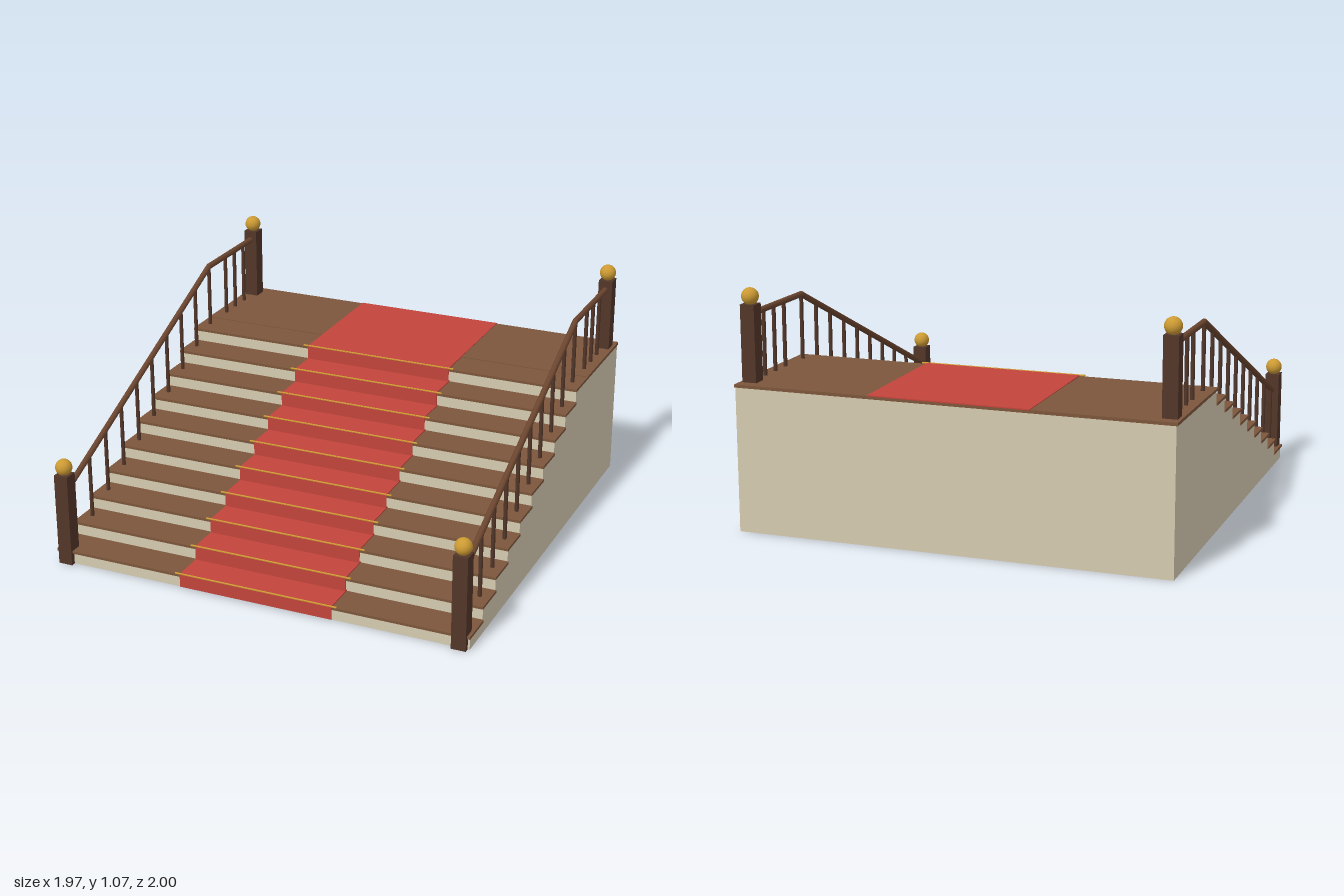
import * as THREE from 'three';

const STEPS = 10, RISE = 0.0657, RUN = 0.148;
const FRONT = 0.976, BACK = -1, TOP = STEPS * RISE;
const NOSE = 0.012, BOARD = 0.012, POST_X = 0.938;

const paint = (color) => new THREE.MeshStandardMaterial({ color });

export function createModel() {
  const model = new THREE.Group();
  const stone = paint(0xd6cbb1), wood = paint(0x7d563c), darkWood = paint(0x523629);
  const railWood = paint(0x6b452f), red = paint(0xc2443b), gold = paint(0xcc9a33);

  const add = (name, geometry, material, parent = model) => {
    const mesh = new THREE.Mesh(geometry, material);
    mesh.name = name;
    parent.add(mesh);
    return mesh;
  };
  // Box given by its extents in x, y and z
  const box = (name, material, x0, x1, y0, y1, z0, z1, parent) =>
    add(name, new THREE.BoxGeometry(x1 - x0, y1 - y0, z1 - z0), material, parent)
      .position.set((x0 + x1) / 2, (y0 + y1) / 2, (z0 + z1) / 2);
  // Round bar between two points
  const bar = (name, material, a, b, radius, parent) => {
    const dir = b.clone().sub(a);
    const mesh = add(name, new THREE.CylinderGeometry(radius, radius, dir.length(), 10), material, parent);
    mesh.position.copy(a).add(b).multiplyScalar(0.5);
    mesh.quaternion.setFromUnitVectors(new THREE.Vector3(0, 1, 0), dir.normalize());
  };

  // Solid stepped base, profile drawn in (z, y) and extruded across x
  const profile = new THREE.Shape();
  profile.moveTo(BACK, 0);
  profile.lineTo(FRONT, 0);
  for (let i = 0; i < STEPS; i++) {
    const z = FRONT - i * RUN, y = (i + 1) * RISE - BOARD;
    profile.lineTo(z, y);
    profile.lineTo(i < STEPS - 1 ? z - RUN : BACK, y);
  }
  profile.closePath();
  const base = new THREE.ExtrudeGeometry(profile, { depth: 1.96, bevelEnabled: false });
  base.translate(0, 0, -0.98).rotateY(-Math.PI / 2);
  add('stairBase', base, stone);

  // Treads, carpet runner and carpet rods
  for (let i = 0; i < STEPS; i++) {
    const riser = FRONT - i * RUN, nose = riser + NOSE, y = (i + 1) * RISE;
    const last = i === STEPS - 1;
    const end = last ? -0.508 : riser - RUN;
    box('tread', wood, -0.985, 0.985, y - BOARD, y, end, nose);
    box('carpetTread', red, -0.362, 0.362, y, y + 0.005, last ? BACK : end, nose + 0.004);
    box('carpetRiser', red, -0.362, 0.362, Math.max(i * RISE, 0.008), y, nose, nose + 0.004);
    bar('carpetRod', gold, new THREE.Vector3(-0.385, y + 0.003, nose), new THREE.Vector3(0.385, y + 0.003, nose), 0.0045);
  }
  box('landingBoard', wood, -0.985, 0.985, TOP - BOARD, TOP + 0.002, BACK, -0.512);

  // Balustrade on each side
  const slope = (0.955 - 0.355) / (0.93 + 0.43);
  const railY = (z) => (z > -0.43 ? 0.955 - (z + 0.43) * slope : 0.955);
  for (const side of [1, -1]) {
    const x = side * POST_X;
    const rail = new THREE.Group();
    rail.name = side > 0 ? 'leftBalustrade' : 'rightBalustrade';
    model.add(rail);

    // Newel posts with ball finials
    for (const [z, y0, y1] of [[0.966, 0, 0.43], [-0.918, TOP, 1.0]]) {
      box('newelPost', darkWood, x - 0.033, x + 0.033, y0, y1, z - 0.033, z + 0.033, rail);
      add('ballFinial', new THREE.SphereGeometry(0.038, 24, 16), gold, rail).position.set(x, y1 + 0.033, z);
    }

    // Sloping and level handrail
    const p = (z, y = railY(z)) => new THREE.Vector3(x, y, z);
    bar('slopingHandrail', railWood, p(0.95), p(-0.43), 0.014, rail);
    bar('levelHandrail', railWood, p(-0.43), p(-0.9), 0.014, rail);
    add('handrailJoint', new THREE.SphereGeometry(0.014, 12, 8), railWood, rail).position.copy(p(-0.43));

    // One baluster per step, then three on the landing
    for (let i = 0; i < STEPS; i++) {
      const z = 0.902 - i * RUN;
      bar('baluster', darkWood, p(z, (i + 1) * RISE), p(z), 0.009, rail);
    }
    for (const z of [-0.605, -0.703, -0.8]) bar('landingBaluster', darkWood, p(z, TOP), p(z), 0.009, rail);
  }
  return model;
}
